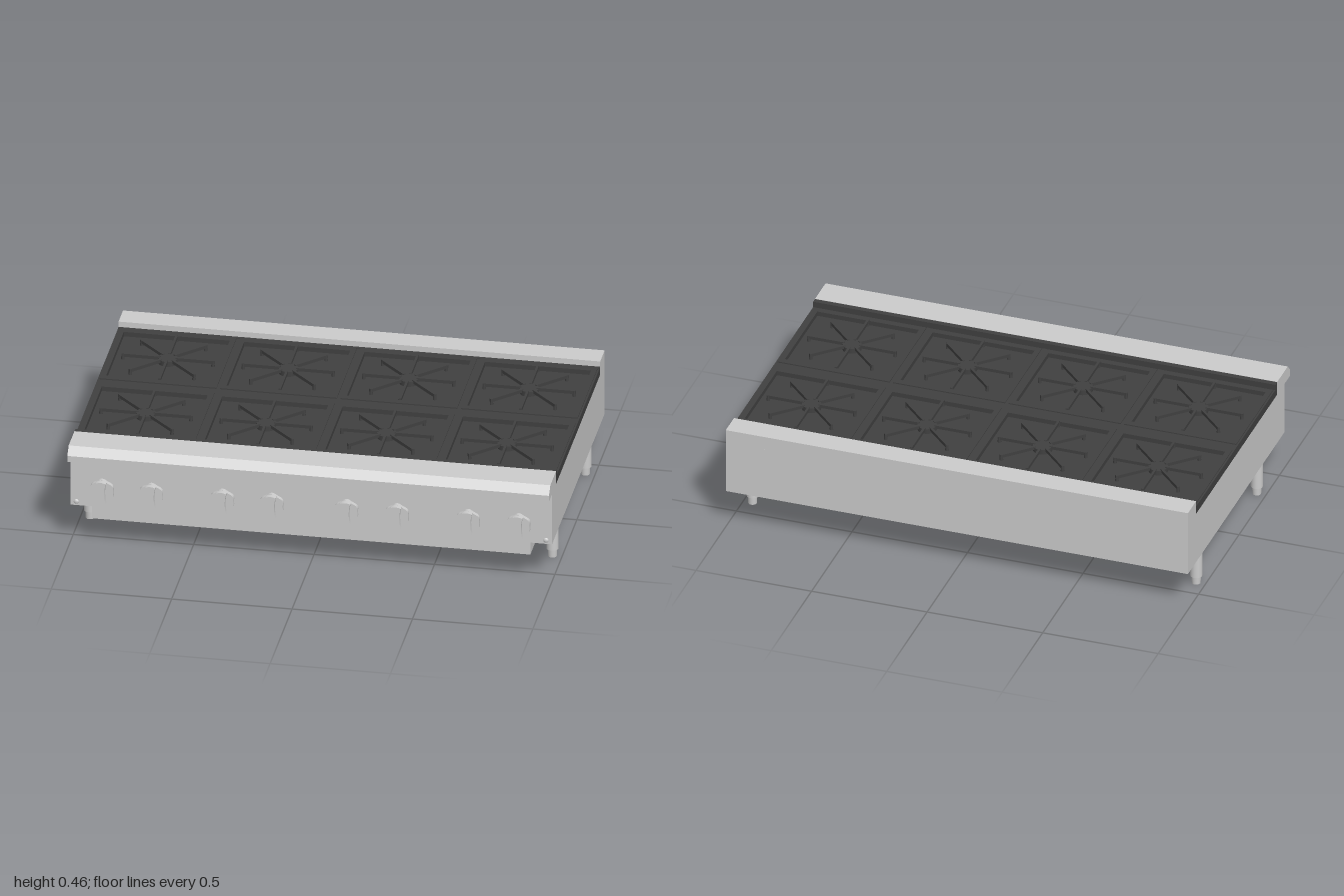
import * as THREE from 'three';

const grey = new THREE.MeshStandardMaterial({ color: 0xcccccc });
const iron = new THREE.MeshStandardMaterial({ color: 0x404040 });

function add(parent, name, geometry, material, x = 0, y = 0, z = 0) {
  const mesh = new THREE.Mesh(geometry, material);
  mesh.name = name;
  mesh.position.set(x, y, z);
  parent.add(mesh);
  return mesh;
}

// Box given by its limits on each axis
function block(parent, name, material, [x0, x1], [y0, y1], [z0, z1]) {
  return add(parent, name, new THREE.BoxGeometry(x1 - x0, y1 - y0, z1 - z0), material,
    (x0 + x1) / 2, (y0 + y1) / 2, (z0 + z1) / 2);
}

function rectangle(w, h, Type = THREE.Shape) {
  return new Type([[-w, -h], [w, -h], [w, h], [-w, h]].map(([x, y]) => new THREE.Vector2(x / 2, y / 2)));
}

// Cast iron grate: square frame, centre hub and eight fingers
function makeGrate() {
  const grate = new THREE.Group();
  grate.name = 'grate';
  const frame = rectangle(0.485, 0.455);
  frame.holes.push(rectangle(0.44, 0.4, THREE.Path));
  const frameGeo = new THREE.ExtrudeGeometry(frame, { depth: 0.02, bevelEnabled: false });
  frameGeo.rotateX(-Math.PI / 2);
  add(grate, 'grateFrame', frameGeo, iron, 0, 0.418, 0);
  add(grate, 'burnerHub', new THREE.CylinderGeometry(0.04, 0.04, 0.022, 24), iron, 0, 0.429, 0);
  for (let i = 0; i < 8; i++) {
    const spoke = new THREE.Group();
    spoke.name = 'grateFinger';
    spoke.rotation.y = (i * Math.PI) / 4;
    const reach = i % 4 === 2 ? 0.2 : 0.193;
    block(spoke, 'fingerBar', iron, [0.032, reach], [0.43, 0.444], [-0.005, 0.005]);
    add(spoke, 'fingerFoot', new THREE.CylinderGeometry(0.006, 0.008, 0.03, 10), iron, reach - 0.006, 0.427, 0);
    grate.add(spoke);
  }
  return grate;
}

// Control knob facing +z: shaft, scalloped dial and waisted grip
function makeKnob() {
  const knob = new THREE.Group();
  knob.name = 'knob';
  const disc = (name, r, z0, z1) => add(knob, name,
    new THREE.CylinderGeometry(r, r, z1 - z0, 28).rotateX(Math.PI / 2), grey, 0, 0, (z0 + z1) / 2);
  disc('knobShaft', 0.027, 0, 0.014);
  const outline = [];
  for (let i = 0; i < 48; i++) {
    const a = (i / 48) * Math.PI * 2;
    const r = 0.0495 + 0.0025 * Math.cos(6 * a + Math.PI);
    outline.push(new THREE.Vector2(r * Math.cos(a), r * Math.sin(a)));
  }
  add(knob, 'knobDial', new THREE.ExtrudeGeometry(new THREE.Shape(outline), { depth: 0.018, bevelEnabled: false }),
    grey, 0, 0, 0.012);
  const grip = new THREE.Shape();
  grip.moveTo(-0.021, -0.046);
  grip.quadraticCurveTo(0, -0.056, 0.021, -0.046);
  grip.quadraticCurveTo(0.009, 0, 0.021, 0.046);
  grip.quadraticCurveTo(0, 0.056, -0.021, 0.046);
  grip.quadraticCurveTo(-0.009, 0, -0.021, -0.046);
  add(knob, 'knobGrip', new THREE.ExtrudeGeometry(grip, { depth: 0.022, bevelEnabled: false }), grey, 0, 0, 0.029);
  return knob;
}

export function createModel() {
  const model = new THREE.Group();
  model.name = 'rangeTop';

  // Cabinet, drip tray housing and back rail
  block(model, 'body', grey, [-1, 1], [0.17, 0.4], [-0.632, 0.565]);
  block(model, 'lowerTray', grey, [-0.91, 0.91], [0.115, 0.17], [-0.53, 0.565]);
  block(model, 'backRail', grey, [-1, 1], [0.4, 0.46], [-0.632, -0.53]);

  // Front ledge with a chamfered nose, extruded along x
  const nose = new THREE.Shape([[0.473, 0.4], [0.634, 0.4], [0.634, 0.427], [0.603, 0.46], [0.473, 0.46]]
    .map(([z, y]) => new THREE.Vector2(-z, y)).reverse());
  const ledge = new THREE.ExtrudeGeometry(nose, { depth: 2, bevelEnabled: false });
  ledge.rotateY(Math.PI / 2).translate(-1, 0, 0);
  add(model, 'frontLedge', ledge, grey);

  // Dark cooking surface with a raised lip at the front
  block(model, 'cooktop', iron, [-1, 1], [0.4, 0.418], [-0.53, 0.473]);
  block(model, 'frontLip', iron, [-1, 1], [0.418, 0.459], [0.45, 0.473]);
  block(model, 'backLip', iron, [-1, 1], [0.418, 0.436], [-0.53, -0.514]);
  block(model, 'middleBar', iron, [-1, 1], [0.418, 0.434], [-0.056, -0.014]);
  for (const x of [-1, -0.5, 0, 0.5, 1]) {
    const half = 0.0075;
    block(model, 'grateDivider', iron, [Math.max(-1, x - half), Math.min(1, x + half)], [0.418, 0.434], [-0.514, 0.45]);
  }
  for (const x of [-0.75, -0.25, 0.25, 0.75]) {
    for (const z of [-0.285, 0.215]) {
      const grate = makeGrate();
      grate.position.set(x, 0, z);
      model.add(grate);
    }
  }

  // Knobs
  for (const x of [-0.865, -0.66, -0.365, -0.16, 0.15, 0.36, 0.655, 0.865]) {
    const knob = makeKnob();
    knob.position.set(x, 0.255, 0.565);
    model.add(knob);
  }

  // Panel screws and legs
  for (const x of [-1, 1]) {
    for (const y of [0.187, 0.378]) {
      const screw = new THREE.SphereGeometry(0.011, 14, 7, 0, Math.PI * 2, 0, Math.PI / 2);
      screw.rotateX(Math.PI / 2).scale(1, 1, 0.6);
      add(model, 'panelScrew', screw, grey, x * 0.975, y, 0.565);
    }
    for (const z of [0.335, -0.415]) {
      add(model, 'leg', new THREE.CylinderGeometry(0.025, 0.025, 0.135, 24), grey, x * 0.96, 0.1025, z);
      add(model, 'foot', new THREE.CylinderGeometry(0.02, 0.018, 0.036, 24), grey, x * 0.96, 0.018, z);
    }
  }
  return model;
}
